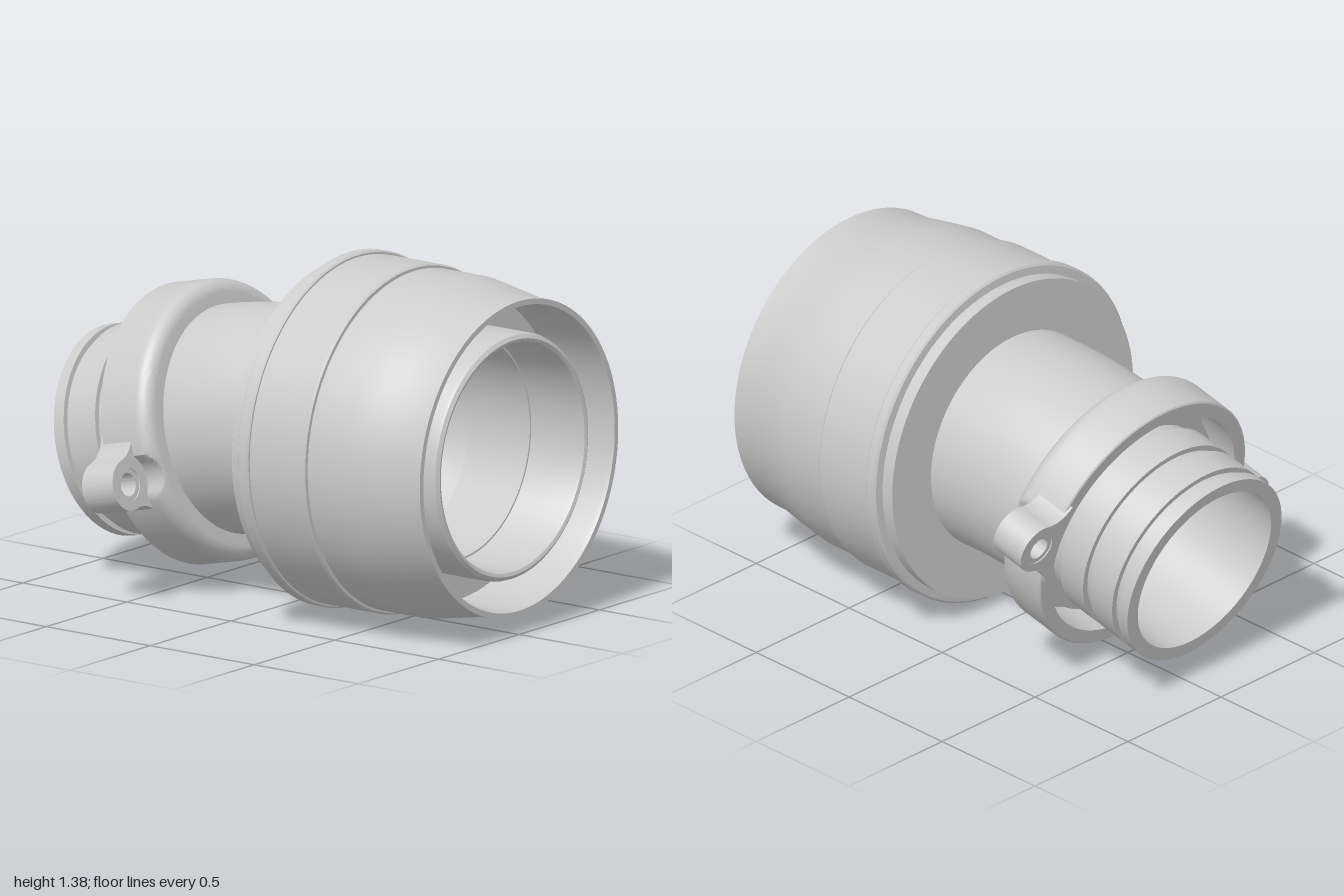
import * as THREE from 'three';
import { toCreasedNormals } from 'three/addons/utils/BufferGeometryUtils.js';

const AXIS_Y = 0.69;      // height of the main axis
const BEND = 0.2234;      // elbow angle
const BEND_START = 0.04;  // where the elbow begins on x
const BEND_R = 1.783;     // elbow centreline radius
const LUG_TILT = 0.225;   // roll of the clamp lugs about the pipe
const LUG_R = 0.61;       // radial position of the lug holes

// Apply a rule to every vertex.
function deform(geo, rule) {
  const p = geo.attributes.position;
  const v = new THREE.Vector3();
  for (let i = 0; i < p.count; i++) {
    rule(v.fromBufferAttribute(p, i));
    p.setXYZ(i, v.x, v.y, v.z);
  }
  return geo;
}

// Bend everything left of BEND_START downwards along the elbow.
function bend(v) {
  const d = BEND_START - v.x;
  if (d > 0) {
    const a = Math.min(d / BEND_R, BEND);
    const rest = d - a * BEND_R;
    const r = BEND_R + v.y;
    v.x = BEND_START - r * Math.sin(a) - rest * Math.cos(a);
    v.y = r * Math.cos(a) - BEND_R - rest * Math.sin(a);
  }
  v.y += AXIS_Y;
}

// Turn a list of [x, radius] points around the x axis.
function turned(points, segments = 128) {
  const geo = new THREE.LatheGeometry(points.map(([x, r]) => new THREE.Vector2(r, x)), segments);
  return geo.rotateZ(-Math.PI / 2);
}

export function createModel() {
  const group = new THREE.Group();
  const material = new THREE.MeshStandardMaterial({ color: 0xcccccc });
  const add = (name, geo) => {
    const mesh = new THREE.Mesh(toCreasedNormals(deform(geo, bend), 0.5), material);
    mesh.name = name;
    group.add(mesh);
  };

  // Bent pipe: grooved spigot, elbow, lipped sleeve, then back through the bore
  const arc = [];
  for (let i = 0; i <= 16; i++) arc.push(BEND_START - (BEND * BEND_R * (16 - i)) / 16);
  add('bentPipe', turned([
    [-0.929, 0.35], [-0.929, 0.405], [-0.88, 0.405], [-0.88, 0.383], [-0.845, 0.383],
    [-0.845, 0.405], [-0.725, 0.405], [-0.725, 0.383], [-0.685, 0.383], [-0.685, 0.405],
    [-0.56, 0.405], [-0.56, 0.383], [-0.5, 0.383], [-0.5, 0.44],
    ...arc.map((x) => [x, 0.44]),
    [0.7, 0.44], [0.7, 0.48], [0.95, 0.48], [0.965, 0.475], [0.975, 0.46],
    [0.97, 0.447], [0.955, 0.44], [0.5, 0.435], [0.3, 0.42], [0.15, 0.385],
    ...arc.reverse().map((x) => [x, 0.355]),
    [-0.929, 0.35],
  ]));

  // Large coupling collar with flange, seam groove and tapered mouth
  add('couplingCollar', turned([
    [0.12, 0.43], [0.12, 0.648], [0.172, 0.648], [0.175, 0.68], [0.182, 0.688],
    [0.22, 0.688], [0.227, 0.682], [0.227, 0.675], [0.482, 0.675], [0.49, 0.669],
    [0.49, 0.655], [0.497, 0.655], [0.497, 0.661], [0.68, 0.661], [0.76, 0.648],
    [0.84, 0.634], [0.92, 0.619], [1, 0.617], [1, 0.595], [0.98, 0.588],
    [0.72, 0.588], [0.72, 0.43], [0.12, 0.43],
  ]));

  // Clamp ring: rounded front edge, hollow at the rear
  const clampProfile = [[-0.59, 0.48], [-0.59, 0.534], [-0.585, 0.54], [-0.452, 0.54], [-0.449, 0.54]];
  for (let i = 0; i <= 8; i++) {
    const a = (i / 8) * Math.PI / 2;
    clampProfile.push([-0.415 + 0.055 * Math.sin(a), 0.485 + 0.055 * Math.cos(a)]);
  }
  clampProfile.push([-0.36, 0.43], [-0.42, 0.43], [-0.42, 0.48], [-0.59, 0.48]);
  const clamp = turned(clampProfile, 192);

  // Scallops in the ring give room for bolt heads in front of the lugs
  const cutR = 0.11;
  deform(clamp, (v) => {
    const r = Math.hypot(v.y, v.z);
    if (v.x < -0.45 || r < 0.482) return;
    for (const side of [1, -1]) {
      const cy = side * LUG_R * Math.sin(LUG_TILT), cz = -side * LUG_R * Math.cos(LUG_TILT);
      const along = (v.y * cy + v.z * cz) / r;
      const off2 = LUG_R * LUG_R - along * along;
      if (along < 0 || off2 > cutR * cutR) continue;
      const k = Math.min(r, along - Math.sqrt(cutR * cutR - off2)) / r;
      v.y *= k;
      v.z *= k;
    }
  });
  add('clampRing', clamp);

  // Two bolt lugs with filleted roots, each with a bushing
  const outline = new THREE.Shape();
  outline.moveTo(0.5, -0.17);
  outline.quadraticCurveTo(0.54, -0.1, LUG_R, -0.1);
  outline.absarc(LUG_R, 0, 0.1, -Math.PI / 2, Math.PI / 2, false);
  outline.quadraticCurveTo(0.54, 0.1, 0.5, 0.17);
  outline.closePath();
  const hole = new THREE.Path();
  hole.absarc(LUG_R, 0, 0.064, 0, Math.PI * 2, true);
  outline.holes.push(hole);
  for (const [side, turn] of [['right', 0], ['left', Math.PI]]) {
    const lug = new THREE.ExtrudeGeometry(outline, { depth: 0.15, bevelEnabled: false, curveSegments: 24 });
    lug.rotateY(Math.PI / 2).translate(-0.6, 0, 0).rotateX(LUG_TILT + turn);
    add(turn ? 'frontLug' : 'backLug', lug);
    const bush = turned([
      [-0.595, 0.045], [-0.595, 0.066], [-0.455, 0.066], [-0.455, 0.045], [-0.595, 0.045],
    ], 32);
    bush.translate(0, 0, -LUG_R).rotateX(LUG_TILT + turn);
    add(turn ? 'frontBushing' : 'backBushing', bush);
  }

  return group;
}
